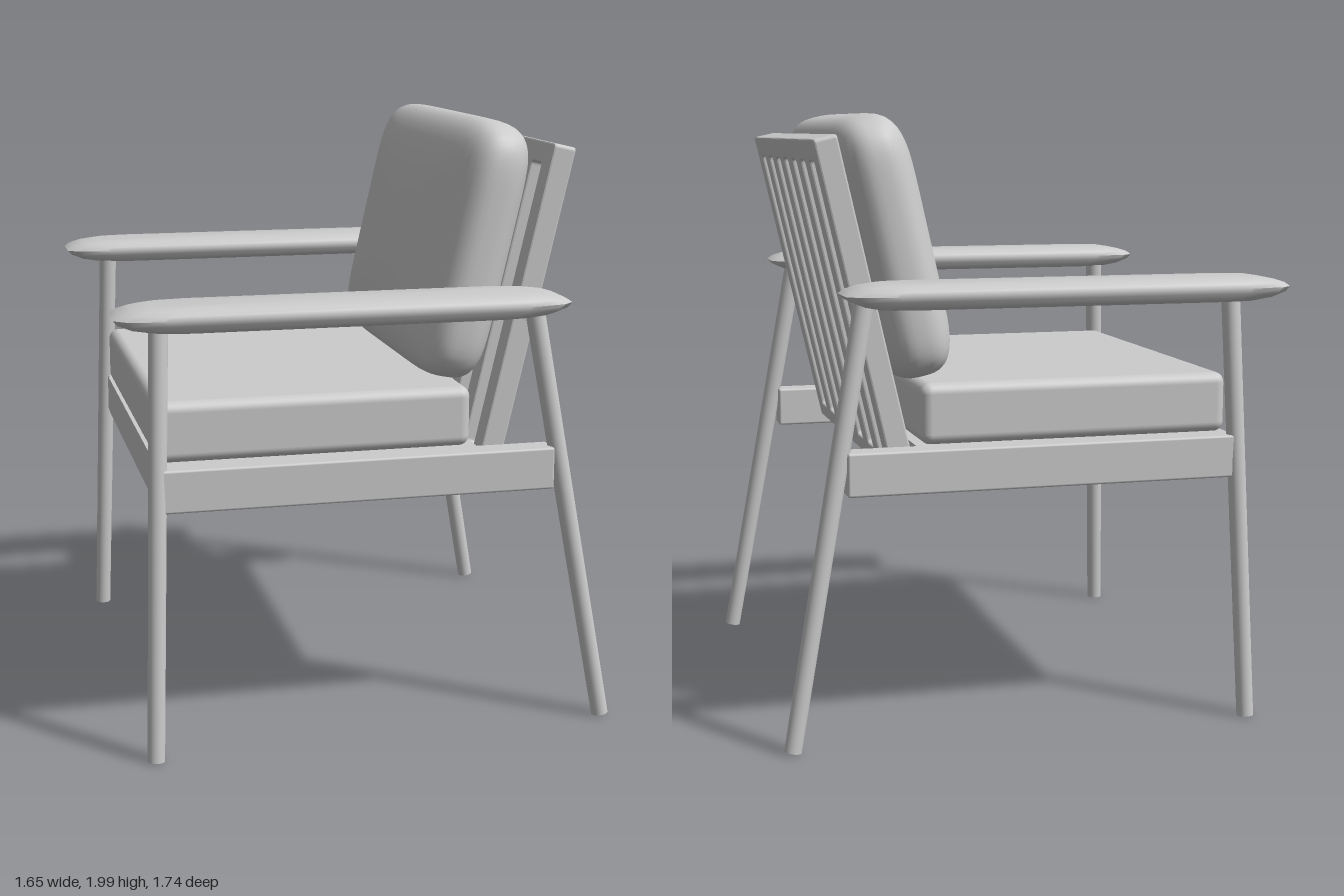
import * as THREE from 'three';
import { mergeVertices, toCreasedNormals } from 'three/addons/utils/BufferGeometryUtils.js';
import { RoundedBoxGeometry } from 'three/addons/geometries/RoundedBoxGeometry.js';

const TILT = -Math.atan(0.228); // backrest lean
const material = new THREE.MeshStandardMaterial({ color: 0xcccccc });

function part(name, geometry, x = 0, y = 0, z = 0) {
  const mesh = new THREE.Mesh(geometry, material);
  mesh.name = name;
  mesh.position.set(x, y, z);
  return mesh;
}

// Round leg between two points, r0 at the foot and r1 at the top
function leg(name, foot, top, r0, r1) {
  const a = new THREE.Vector3(...foot), b = new THREE.Vector3(...top);
  const dir = b.clone().sub(a);
  const mesh = part(name, new THREE.CylinderGeometry(r1, r0, dir.length(), 24));
  mesh.position.copy(a).add(b).multiplyScalar(0.5);
  mesh.quaternion.setFromUnitVectors(new THREE.Vector3(0, 1, 0), dir.normalize());
  return mesh;
}

// Armrest: stacked chamfered outlines, thinning towards the rim
function armGeometry(hx, hz) {
  const corner = [[hx, hz - 0.055], [hx - 0.04, hz - 0.02], [hx - 0.15, hz]];
  const back = [...corner].reverse();
  const outline = [
    ...corner, ...back.map(([x, z]) => [-x, z]),
    ...corner.map(([x, z]) => [-x, -z]), ...back.map(([x, z]) => [x, -z]),
  ];
  // [height, inset along x, inset along z]
  const rings = [[-0.04, 0.11, 0.035], [-0.03, 0.06, 0.014], [-0.012, 0.015, 0.003], [0.004, 0, 0],
    [0.018, 0.02, 0.004], [0.03, 0.06, 0.014], [0.038, 0.11, 0.035]];
  const n = outline.length, pos = [], idx = [];
  for (const [y, ix, iz] of rings)
    for (const [x, z] of outline) pos.push(x * (1 - ix / hx), y, z * (1 - iz / hz));
  for (let i = 0; i < rings.length - 1; i++)
    for (let j = 0; j < n; j++) {
      const a = i * n + j, b = i * n + (j + 1) % n;
      idx.push(a, a + n, b, b, a + n, b + n);
    }
  const last = (rings.length - 1) * n, c = rings.length * n;
  pos.push(0, rings[0][0], 0, 0, rings[rings.length - 1][0], 0);
  for (let j = 0; j < n; j++) {
    const k = (j + 1) % n;
    idx.push(c, j, k, c + 1, last + k, last + j);
  }
  const geo = new THREE.BufferGeometry();
  geo.setAttribute('position', new THREE.Float32BufferAttribute(pos, 3));
  geo.setIndex(idx);
  return toCreasedNormals(geo, 0.75);
}

// Pillow: a cube pushed onto a rounded-rectangle superellipsoid
function pillowGeometry(hx, hy, hz) {
  let geo = new THREE.BoxGeometry(2, 2, 2, 16, 28, 28);
  geo.deleteAttribute('uv');
  geo.deleteAttribute('normal');
  geo = mergeVertices(geo);
  const p = geo.attributes.position;
  for (let i = 0; i < p.count; i++) {
    const x = p.getX(i), y = p.getY(i), z = p.getZ(i);
    const face = Math.sqrt(y ** 8 + z ** 8);
    const s = 1 / Math.cbrt(face ** 0.75 + Math.abs(x) ** 3);
    p.setXYZ(i, x * s * hx, y * s * hy, z * s * hz);
  }
  geo.computeVertexNormals();
  return geo;
}

function roundedRect(path, x0, y0, x1, y1, r) {
  path.moveTo(x0 + r, y0);
  path.lineTo(x1 - r, y0);
  path.quadraticCurveTo(x1, y0, x1, y0 + r);
  path.lineTo(x1, y1 - r);
  path.quadraticCurveTo(x1, y1, x1 - r, y1);
  path.lineTo(x0 + r, y1);
  path.quadraticCurveTo(x0, y1, x0, y1 - r);
  path.lineTo(x0, y0 + r);
  path.quadraticCurveTo(x0, y0, x0 + r, y0);
  return path;
}

// Backrest panel with seven upright slots
function backGeometry() {
  const shape = roundedRect(new THREE.Shape(), -0.642, -0.54, 0.642, 0.54, 0.008);
  for (let i = -3; i <= 3; i++) {
    const c = i * 0.1735;
    shape.holes.push(roundedRect(new THREE.Path(), c - 0.052, -0.497, c + 0.052, 0.482, 0.02));
  }
  const geo = new THREE.ExtrudeGeometry(shape, {
    depth: 0.064, bevelThickness: 0.006, bevelSize: 0.006, bevelSegments: 2, curveSegments: 5,
  });
  geo.translate(0, 0, -0.032);
  geo.rotateY(Math.PI / 2);
  return geo;
}

export function createModel() {
  const chair = new THREE.Group();
  chair.name = 'armchair';

  // Seat
  chair.add(part('seatBase', new THREE.BoxGeometry(1.06, 0.135, 1.32), -0.16, 0.877, 0));
  chair.add(part('seatCushion', new RoundedBoxGeometry(1.04, 0.2, 1.3, 4, 0.035), -0.168, 1.042, 0));

  // Backrest
  const panel = part('backPanel', backGeometry(), 0.53, 1.386, 0);
  const pillow = part('backCushion', pillowGeometry(0.155, 0.437, 0.597), 0.4, 1.56, 0);
  panel.rotation.z = pillow.rotation.z = TILT;
  chair.add(panel, pillow);

  // Sides
  const arm = armGeometry(0.727, 0.125);
  const rail = new RoundedBoxGeometry(1.3, 0.14, 0.09, 2, 0.008);
  for (const [side, s] of [['left', 1], ['right', -1]]) {
    chair.add(part(side + 'Armrest', arm, -0.103, 1.437, s * 0.745));
    chair.add(part(side + 'Rail', rail, -0.04, 0.877, s * 0.699));
    chair.add(leg(side + 'FrontLeg', [-0.725, 0, s * 0.777], [-0.677, 1.43, s * 0.688], 0.028, 0.031));
    chair.add(leg(side + 'BackLeg', [0.797, 0.005, s * 0.748], [0.54, 1.43, s * 0.688], 0.028, 0.032));
  }
  return chair;
}
